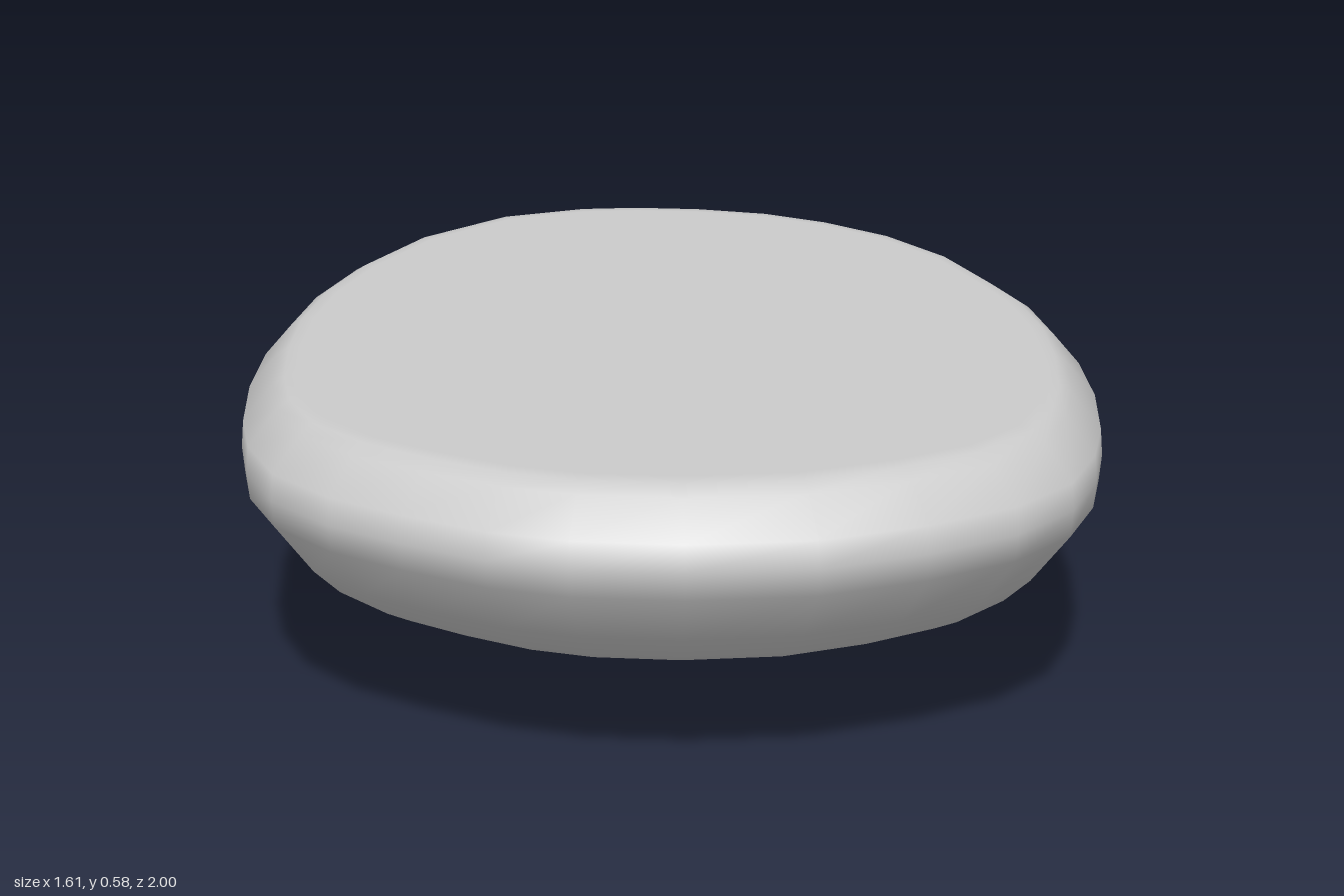
import * as THREE from 'three';

// Egg-shaped plan outline as [x, z], starting at the back and running past +x
const OUTLINE = [
  [-0.07, -1], [0.08, -0.985], [0.24, -0.94], [0.38, -0.86], [0.52, -0.735],
  [0.64, -0.555], [0.71, -0.37], [0.77, -0.195], [0.8, 0], [0.805, 0.2],
  [0.79, 0.4], [0.76, 0.55], [0.7, 0.7], [0.59, 0.82], [0.43, 0.91],
  [0.24, 0.98], [0.015, 1], [-0.18, 0.98], [-0.32, 0.935], [-0.47, 0.85],
  [-0.6, 0.76], [-0.71, 0.635], [-0.77, 0.485], [-0.795, 0.335], [-0.805, 0.13],
  [-0.795, -0.08], [-0.76, -0.285], [-0.69, -0.5], [-0.57, -0.735],
  [-0.385, -0.92], [-0.2, -0.99],
];

// Cross-section rings from bottom to top as [outline scale, y]
const RINGS = [
  [0.06, 0.01], [0.4, 0.104], [0.7, 0.182], [0.79, 0.208], [0.85, 0.24], [0.91, 0.295],
  [0.995, 0.4], [1, 0.45], [0.995, 0.5], [0.93, 0.56], [0.9, 0.575], [0.87, 0.577],
];
const APEX = { x: -0.035, z: 0.14 };
const CONE_SCALE = 0.79; // rings smaller than this, below the rim, drift toward the apex

function stoneGeometry() {
  const n = OUTLINE.length;
  const positions = [];
  const index = [];

  for (const [scale, y] of RINGS) {
    const drift = Math.max(0, 1 - scale / CONE_SCALE);
    for (const [x, z] of OUTLINE) {
      positions.push(x * scale + APEX.x * drift, y, z * scale + APEX.z * drift);
    }
  }
  const bottom = positions.length / 3;
  const top = bottom + 1;
  positions.push(APEX.x, 0, APEX.z, 0, 0.577, 0);

  const last = (RINGS.length - 1) * n;
  for (let i = 0; i < n; i++) {
    const j = (i + 1) % n;
    // Side walls
    for (let r = 0; r < last; r += n) {
      index.push(r + i, r + n + i, r + j, r + j, r + n + i, r + n + j);
    }
    // Underside tip and flat top
    index.push(bottom, i, j);
    index.push(top, last + j, last + i);
  }

  const geometry = new THREE.BufferGeometry();
  geometry.setAttribute('position', new THREE.Float32BufferAttribute(positions, 3));
  geometry.setIndex(index);
  geometry.computeVertexNormals();
  return geometry;
}

export function createModel() {
  const group = new THREE.Group();
  group.name = 'steppingStone';
  const stone = new THREE.Mesh(
    stoneGeometry(),
    new THREE.MeshStandardMaterial({ color: 0xcccccc })
  );
  stone.name = 'stone';
  group.add(stone);
  return group;
}
